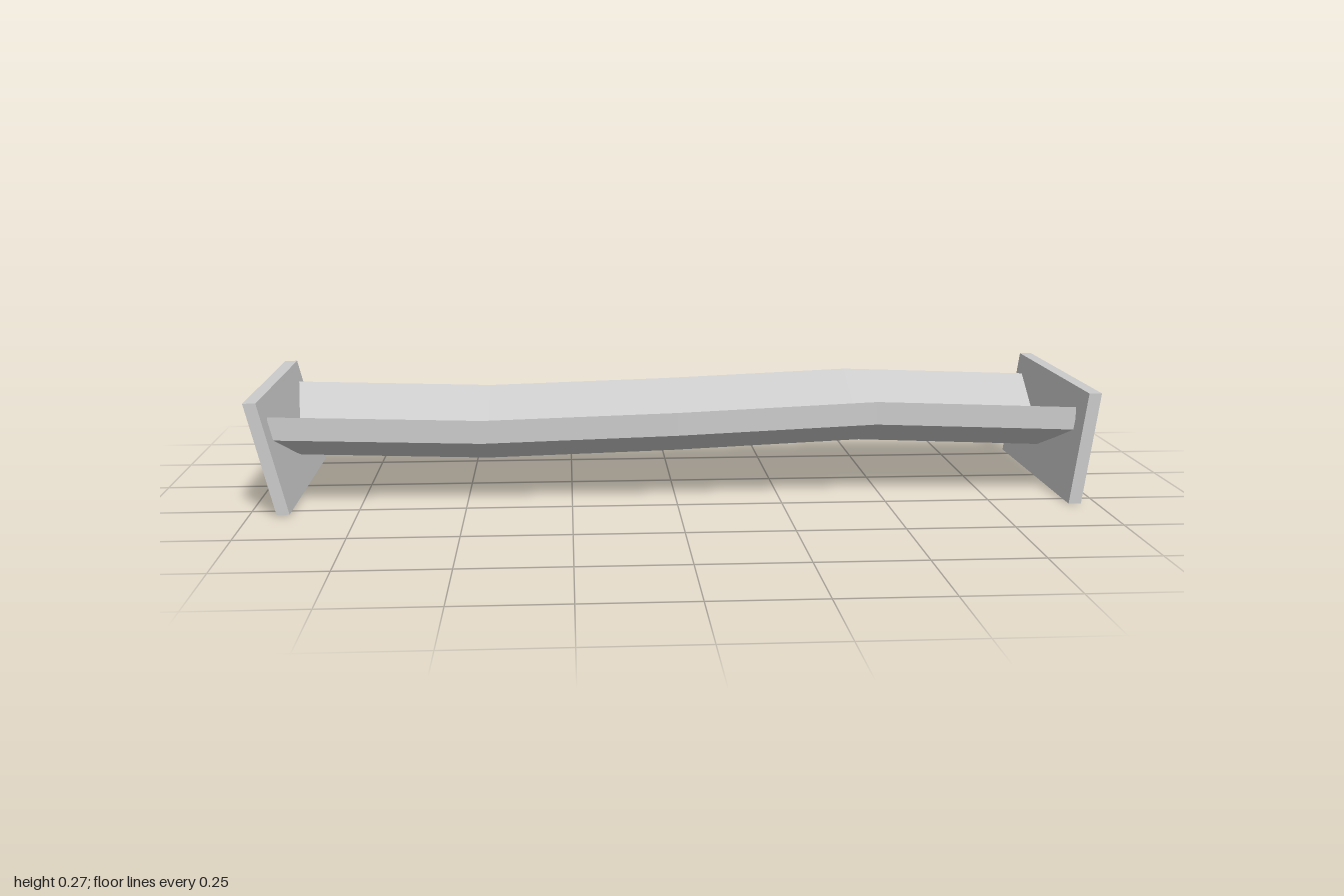
import * as THREE from 'three';

const material = new THREE.MeshStandardMaterial({ color: 0xcccccc, flatShading: true });

// Leaning end plate: a thin parallelogram in x/y, extruded along z
function endPlate(name, corners) {
  const shape = new THREE.Shape(corners.map(([x, y]) => new THREE.Vector2(x, y)));
  const geometry = new THREE.ExtrudeGeometry(shape, { depth: 0.6, bevelEnabled: false });
  geometry.translate(0, 0, -0.3);
  const mesh = new THREE.Mesh(geometry, material);
  mesh.name = name;
  return mesh;
}

// V-shaped blade lofted through stations along x
function blade() {
  // Section as [z, y, isValley]
  const section = [
    [0.238, 0.222, 0], [0, 0.112, 1], [-0.238, 0.222, 0],
    [-0.238, 0.167, 0], [0, 0.08, 1], [0.238, 0.167, 0],
  ];
  // Station: x at the rims, x at the valley, lift in y, shift in z
  const stations = [
    [-0.957, -0.922, 0, -0.001], [-0.46, -0.46, -0.015, -0.001],
    [0, 0, 0, 0.008], [0.48, 0.48, 0.016, -0.015], [0.96, 0.94, 0, -0.002],
  ];
  const n = section.length;
  const points = stations.flatMap(([rimX, valleyX, dy, dz]) =>
    section.map(([z, y, valley]) => [valley ? valleyX : rimX, y + dy, z + dz]));
  const positions = [];
  const quad = (a, b, c, d) => {
    for (const i of [a, b, c, a, c, d]) positions.push(...points[i]);
  };
  for (let s = 0; s < stations.length - 1; s++) {
    for (let j = 0; j < n; j++) {
      const k = (j + 1) % n;
      quad(s * n + j, (s + 1) * n + j, (s + 1) * n + k, s * n + k);
    }
  }
  // End caps, one quad per arm of the V
  const last = (stations.length - 1) * n;
  for (const [a, b, c, d] of [[0, 1, 4, 5], [1, 2, 3, 4]]) {
    quad(a, b, c, d);
    quad(last + d, last + c, last + b, last + a);
  }
  const geometry = new THREE.BufferGeometry();
  geometry.setAttribute('position', new THREE.Float32BufferAttribute(positions, 3));
  geometry.computeVertexNormals();
  const mesh = new THREE.Mesh(geometry, material);
  mesh.name = 'blade';
  return mesh;
}

export function createModel() {
  const model = new THREE.Group();
  model.name = 'wing';
  model.add(
    blade(),
    endPlate('leftEndPlate', [[0.933, 0], [0.963, 0], [1, 0.267], [0.97, 0.267]]),
    endPlate('rightEndPlate', [[-0.935, 0.004], [-0.905, 0.004], [-0.97, 0.267], [-1, 0.267]]),
  );
  return model;
}
